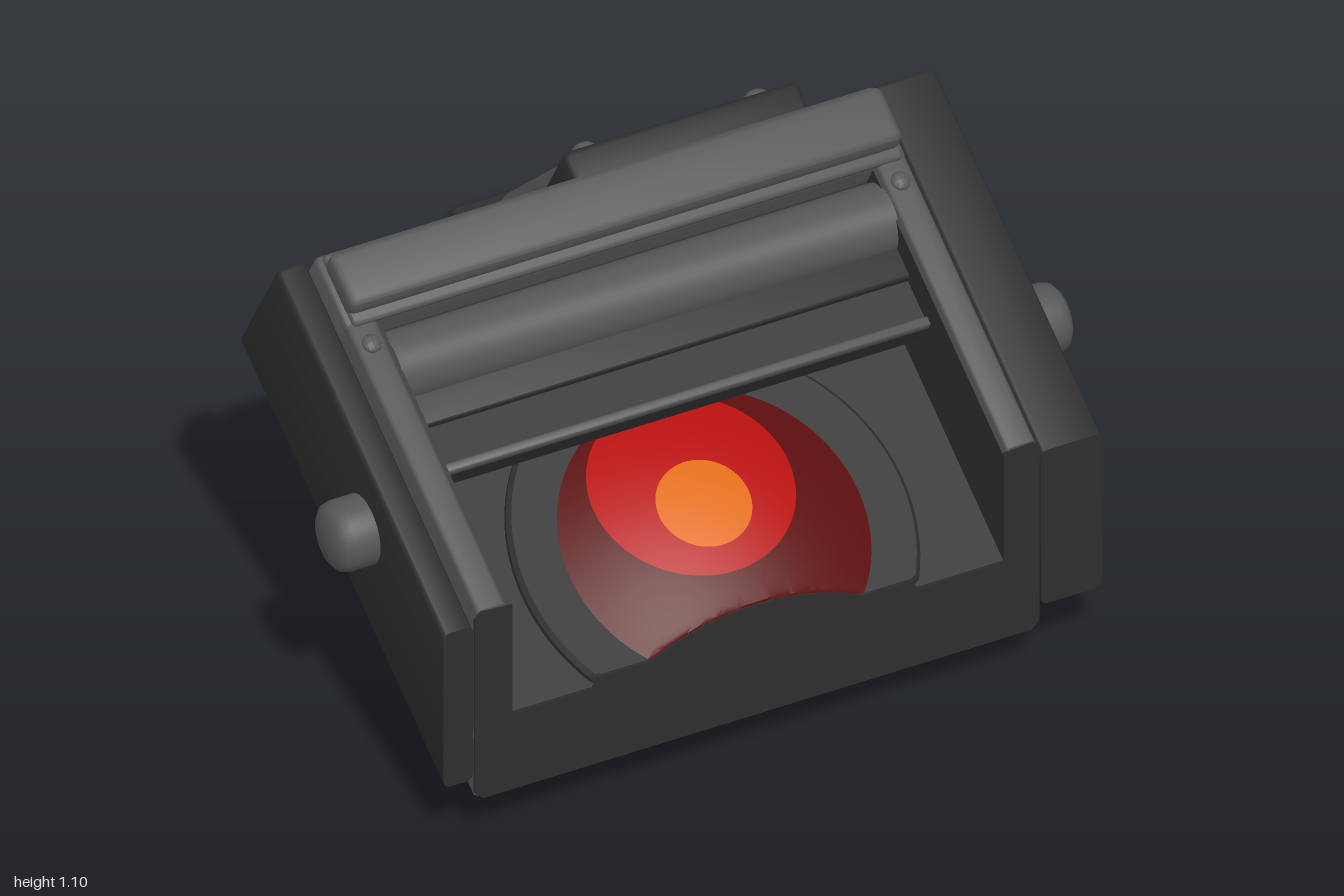
import * as THREE from 'three';
import { RoundedBoxGeometry } from 'three/addons/geometries/RoundedBoxGeometry.js';
import { toCreasedNormals } from 'three/addons/utils/BufferGeometryUtils.js';

// Local frame of the tilted case: x across, n out of its face, u up the slope.
const TILT = Math.PI / 6, C = Math.cos(TILT), S = Math.sin(TILT);
const CUT = 0.996; // vertical plane that trims the front of the case
const DOME = { x: -0.043, u: -0.46, r: 0.345, ring: 0.455, base: 0.8, h: 0.083 };
const FLOOR = 0.777;

const mat = (name, color, side = THREE.FrontSide) => {
  const m = new THREE.MeshStandardMaterial({ color, side });
  m.name = name;
  return m;
};

export function createModel() {
  const model = new THREE.Group();
  model.name = 'tiltedDevice';
  const dark = mat('charcoal', 0x2e2e2e);
  const grey = mat('grey metal', 0x565656);
  const deepRed = mat('deep red', 0x5c0e0e);
  const red = mat('bright red', 0xb81010);
  const orange = mat('orange', 0xe06c10);

  const add = (name, geo, material) => {
    const mesh = new THREE.Mesh(geo, material);
    mesh.name = name;
    model.add(mesh);
    return mesh;
  };

  // Slide vertices back up the slope to the front plane, then tilt
  const tilt = (geo) => {
    const p = geo.attributes.position;
    for (let i = 0; i < p.count; i++) {
      const limit = (CUT - S * p.getY(i)) / C;
      if (p.getZ(i) > limit) p.setZ(i, limit);
    }
    geo.rotateX(TILT);
    return toCreasedNormals(geo, 0.7);
  };

  // Box given by its ranges in x, n and u
  const box = (name, m, x0, x1, n0, n1, u0, u1, r = 0) => {
    const w = x1 - x0, h = n1 - n0, d = u1 - u0;
    const g = r ? new RoundedBoxGeometry(w, h, d, 2, r) : new THREE.BoxGeometry(w, h, d);
    g.translate((x0 + x1) / 2, (n0 + n1) / 2, -(u0 + u1) / 2);
    return add(name, tilt(g), m);
  };

  // Case
  const FRONT = -1.3;
  box('bottomPlate', dark, -0.715, 0.63, 0.604, 0.612, FRONT, 0.322);
  box('caseBase', grey, -0.72, 0.635, 0.61, 0.74, FRONT, 0.325);
  box('caseFloor', dark, -0.64, 0.56, 0.73, FLOOR, FRONT, 0.2);
  box('rightRail', grey, -0.712, -0.643, 0.62, 1.033, FRONT, 0.32, 0.012);
  box('leftRail', grey, 0.558, 0.628, 0.62, 1.033, FRONT, 0.32, 0.012);
  box('rightLiner', dark, -0.65, -0.632, 0.74, 1.02, FRONT, 0.2);
  box('leftLiner', dark, 0.55, 0.566, 0.74, 1.02, FRONT, 0.2);
  box('backBlock', grey, -0.715, 0.63, 0.61, 1.033, 0.145, 0.325, 0.012);
  box('topBar', grey, -0.702, 0.622, 1.02, 1.087, 0.17, 0.305, 0.018);
  box('topLip', grey, -0.7, 0.62, 1.02, 1.045, 0.145, 0.32, 0.01);

  // Side plates
  box('rightSidePlate', dark, -0.793, -0.722, 0.647, 1.002, FRONT, 0.337, 0.015);
  box('leftSidePlate', dark, 0.64, 0.787, 0.647, 1.002, FRONT, 0.337, 0.015);

  // Shelf and roller
  box('shelf', dark, -0.64, 0.56, 0.84, 0.94, -0.19, 0.16);
  box('shelfStep', dark, -0.64, 0.56, 0.9, 0.96, -0.09, 0.16, 0.008);
  box('shelfTrim', grey, -0.64, 0.56, 0.93, 0.956, -0.205, -0.183, 0.006);
  const roller = new THREE.CylinderGeometry(0.08, 0.08, 1.19, 40);
  roller.rotateZ(Math.PI / 2).translate(-0.04, 0.95, -0.06);
  add('roller', tilt(roller), grey);

  // Ring around the dome
  const profile = [[0.455, 0.77], [0.455, 0.79], [0.445, 0.8], [0.33, 0.8]]
    .map(([r, n]) => new THREE.Vector2(r, n));
  const ring = new THREE.LatheGeometry(profile, 96);
  ring.translate(DOME.x, 0, -DOME.u);
  add('domeRing', tilt(ring), dark);

  // Dome with two off-centre colour patches lying on it
  const domeN = (r) => DOME.base + DOME.h * (1 - (r / DOME.r) ** 2);
  const patch = (name, m, r, dx, du, lift) => {
    const g = new THREE.RingGeometry(0, r, 96, 14);
    g.rotateX(-Math.PI / 2).translate(dx, 0, -du);
    const p = g.attributes.position;
    for (let i = 0; i < p.count; i++) {
      p.setY(i, domeN(Math.hypot(p.getX(i), p.getZ(i))) + lift);
    }
    g.translate(DOME.x, 0, -DOME.u);
    add(name, tilt(g), m);
  };
  patch('dome', deepRed, DOME.r, 0, 0, 0.001);
  patch('domeGlow', red, 0.226, -0.02, 0.105, 0.004);
  patch('domeCore', orange, 0.105, -0.025, 0.045, 0.007);

  // Flat front face, following the trimmed floor, ring and dome
  const surface = (x, u) => {
    const r = Math.hypot(x - DOME.x, u - DOME.u);
    return r < DOME.r ? domeN(r) : r < DOME.ring ? DOME.base : FLOOR;
  };
  const face = new THREE.Shape();
  face.moveTo(-0.70, 0.117);
  face.lineTo(0.615, 0.117);
  face.lineTo(0.635, 0.137);
  face.lineTo(0.635, 0.6);
  face.lineTo(0.62, 0.616);
  face.lineTo(0.55, 0.61);
  for (let i = 0; i <= 80; i++) {
    const x = 0.55 - (1.18 * i) / 80;
    let n = FLOOR;
    for (let k = 0; k < 5; k++) n = surface(x, (S * n - 1) / C);
    face.lineTo(x, (n - S) / C);
  }
  face.lineTo(-0.63, 0.61);
  face.lineTo(-0.705, 0.616);
  face.lineTo(-0.72, 0.6);
  face.lineTo(-0.72, 0.137);
  const front = new THREE.ExtrudeGeometry(face, { depth: 0.005, bevelEnabled: false });
  front.translate(0, 0, 0.995);
  add('frontFace', front, dark);

  // Side knobs
  const knobProfile = [[0.08, -0.01], [0.08, 0.06], [0.075, 0.078], [0.06, 0.09], [0.03, 0.097], [0, 0.099]]
    .map(([r, y]) => new THREE.Vector2(r, y));
  for (const side of [-1, 1]) {
    const knob = new THREE.LatheGeometry(knobProfile, 40);
    knob.rotateZ(-side * Math.PI / 2).translate(side * 0.789, 0.843, 0.23);
    add(side > 0 ? 'leftKnob' : 'rightKnob', tilt(knob), grey);
  }

  // Rail screws
  for (const x of [-0.677, 0.592]) {
    const screw = new THREE.SphereGeometry(0.022, 20, 12);
    screw.scale(1, 0.6, 1).translate(x, 1.034, -0.098);
    add('railScrew', tilt(screw), grey);
  }

  // Rear bracket and bolts
  box('rearBracket', dark, -0.045, 0.52, 0.653, 0.92, 0.32, 0.43, 0.018);
  for (const x of [0.027, 0.44]) {
    const bolt = new THREE.SphereGeometry(0.031, 24, 16);
    bolt.scale(1, 1, 0.8).translate(x, 0.855, -0.433);
    add('bracketBolt', tilt(bolt), grey);
  }

  // Curved leg, collar and foot
  const path = new THREE.CatmullRomCurve3([
    [0.76, -0.02], [0.71, -0.09], [0.522, -0.35], [0.325, -0.585], [0.04, -0.88],
  ].map(([y, z]) => new THREE.Vector3(0.362, y, z)));
  const leg = new THREE.TubeGeometry(path, 40, 0.068, 28);
  const lp = leg.attributes.position;
  for (let i = 0; i < lp.count; i++) lp.setY(i, Math.max(lp.getY(i), 0.01));
  add('leg', leg, grey);

  const alongLeg = (mesh, t, axis) => {
    mesh.position.copy(path.getPointAt(t));
    mesh.quaternion.setFromUnitVectors(axis, path.getTangentAt(t));
  };
  const end = add('legEnd', new THREE.CircleGeometry(0.068, 28), grey);
  alongLeg(end, 1, new THREE.Vector3(0, 0, 1));
  const collar = add('legCollar',
    toCreasedNormals(new THREE.CylinderGeometry(0.086, 0.086, 0.085, 32), 0.7), grey);
  alongLeg(collar, 0.05, new THREE.Vector3(0, 1, 0));

  const foot = new RoundedBoxGeometry(0.247, 0.036, 0.215, 2, 0.014);
  foot.translate(0.362, 0.018, -0.8925);
  add('foot', foot, dark);

  return model;
}
